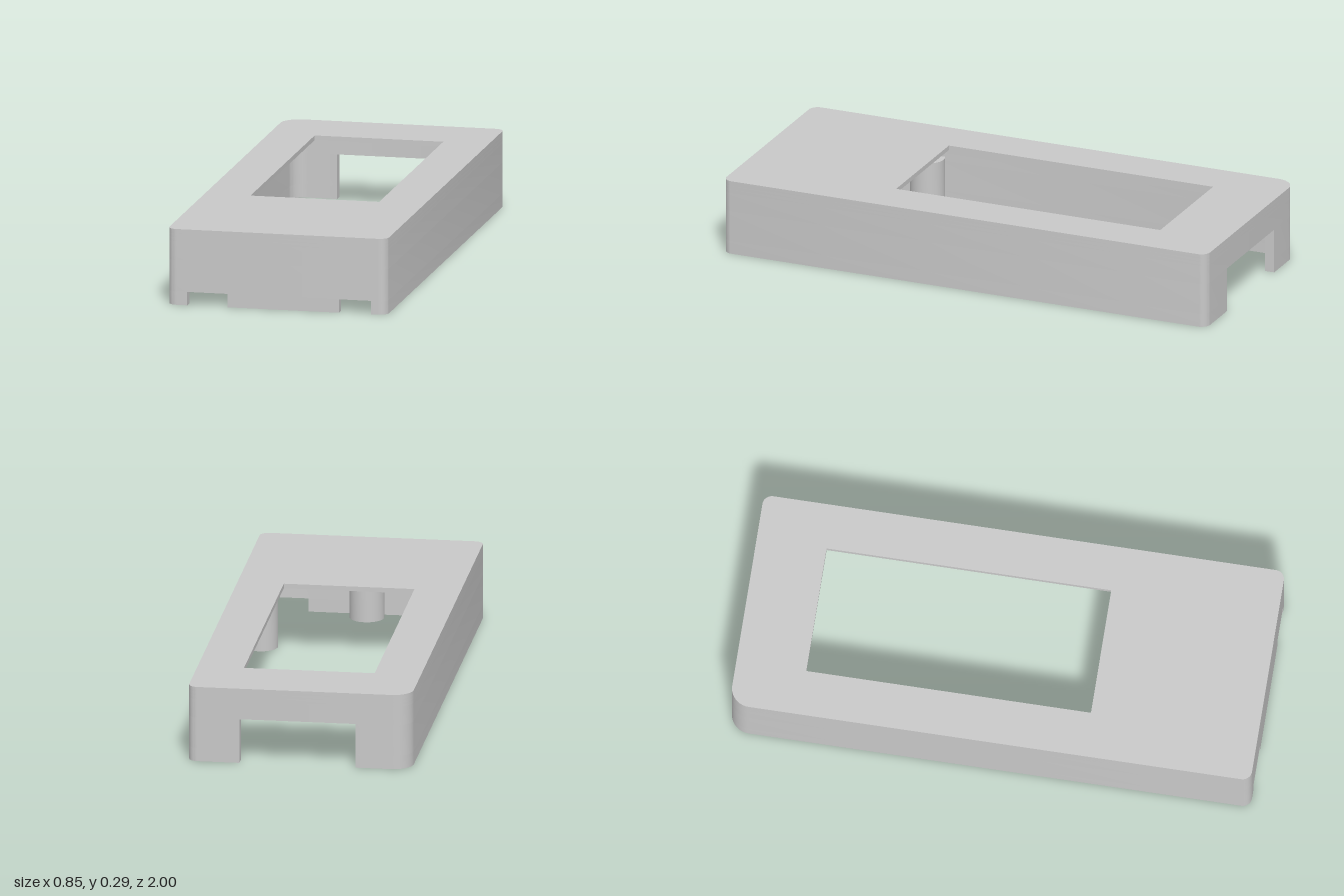
import * as THREE from 'three';
import { toCreasedNormals } from 'three/addons/utils/BufferGeometryUtils.js';

const HALF_X = 0.427, HALF_Z = 1, WALL = 0.038, HEIGHT = 0.294;
const OUTER_R = 0.036, INNER_R = 0.015, BIG_R = 0.075, BIG_INNER_R = 0.06;
const CEILING = 0.247;

// Traces a closed outline of [x, z, cornerRadius] points with rounded right-angle corners.
function outline(points, path = new THREE.Shape()) {
  const k = 0.5523;
  const n = points.length;
  points.forEach(([x, z, r = 0], i) => {
    const toward = ([ax, az], d) => {
      const len = Math.hypot(ax - x, az - z);
      return [x + (ax - x) / len * d, -(z + (az - z) / len * d)];
    };
    const prev = points[(i + n - 1) % n], next = points[(i + 1) % n];
    const a = toward(prev, r);
    if (i === 0) path.moveTo(...a); else path.lineTo(...a);
    if (r > 0) {
      path.bezierCurveTo(...toward(prev, r * (1 - k)), ...toward(next, r * (1 - k)), ...toward(next, r));
    }
  });
  path.closePath();
  return path;
}

// Runs opposite to the plate outline, so that holes face inward.
const rect = (x0, x1, z0, z1) => [[x0, z0], [x0, z1], [x1, z1], [x1, z0]];

export function createModel() {
  const group = new THREE.Group();
  const grey = new THREE.MeshStandardMaterial({ color: 0xc8c8c8 });
  grey.name = 'grey plastic';

  function add(name, geometry) {
    const mesh = new THREE.Mesh(geometry, grey);
    mesh.name = name;
    group.add(mesh);
    return mesh;
  }

  // Extrudes a plan shape upward between two heights.
  function slab(name, shape, y0, y1) {
    const geo = new THREE.ExtrudeGeometry(shape, { depth: y1 - y0, bevelEnabled: false, curveSegments: 10 });
    geo.rotateX(-Math.PI / 2);
    geo.translate(0, y0, 0);
    return add(name, toCreasedNormals(geo, 0.6));
  }

  // One side wall wrapping onto the back wall (to xBack) and the front wall (to xFront).
  function sideWall(name, s, xBack, xFront, y0, y1) {
    const X = s * HALF_X, xi = s * (HALF_X - WALL), zi = HALF_Z - WALL;
    const rOut = s < 0 ? BIG_R : OUTER_R, rIn = s < 0 ? BIG_INNER_R : INNER_R;
    slab(name, outline([
      [xBack, -HALF_Z], [X, -HALF_Z, rOut], [X, HALF_Z, OUTER_R], [xFront, HALF_Z],
      [xFront, zi], [xi, zi, INNER_R], [xi, -zi, rIn], [xBack, -zi],
    ]), y0, y1);
  }

  // Walls in three levels: front notches, back opening, closed ring
  const notchTop = 0.052, openingTop = 0.173;
  for (const [side, s, xBack, xNotch] of [['right', -1, -0.215, -0.35], ['left', 1, 0.23, 0.365]]) {
    sideWall(side + 'WallFoot', s, xBack, xNotch, 0, notchTop);
    sideWall(side + 'WallMiddle', s, xBack, 0, notchTop, openingTop);
    sideWall(side + 'WallTop', s, 0, 0, openingTop, CEILING);
  }
  slab('frontWallFoot', outline(rect(-0.193, 0.24, HALF_Z - WALL, HALF_Z)), 0, notchTop);

  // Top plate: stepped screen recess below, window above
  const plates = [
    ['outerRecessPlate', rect(-0.285, 0.285, -0.9, 0.485), CEILING, 0.262],
    ['innerRecessPlate', rect(-0.27, 0.27, -0.885, 0.465), 0.262, 0.276],
    ['windowPlate', rect(-0.25, 0.25, -0.732, 0.36), 0.276, HEIGHT],
  ];
  for (const [name, hole, y0, y1] of plates) {
    const shape = outline([
      [-HALF_X, -HALF_Z, BIG_R], [HALF_X, -HALF_Z, OUTER_R],
      [HALF_X, HALF_Z, OUTER_R], [-HALF_X, HALF_Z, OUTER_R],
    ]);
    shape.holes.push(outline(hole, new THREE.Path()));
    slab(name, shape, y0, y1);
  }

  // Hollow screw posts beside the walls, stopping short of the ceiling
  const postTop = 0.188;
  const profile = [
    [0, 0.12], [0.04, 0.12], [0.04, 0.02], [0.052, 0.02], [0.052, 0],
    [0.066, 0], [0.066, postTop], [0, postTop],
  ].map(([r, y]) => new THREE.Vector2(r, y));
  const post = toCreasedNormals(new THREE.LatheGeometry(profile, 32), 0.6);
  for (const [name, x, z] of [['rightPost', -0.357, 0.495], ['leftPost', 0.357, 0.495], ['frontPost', 0.01, 0.92]]) {
    add(name, post).position.set(x, 0, z);
  }

  return group;
}
